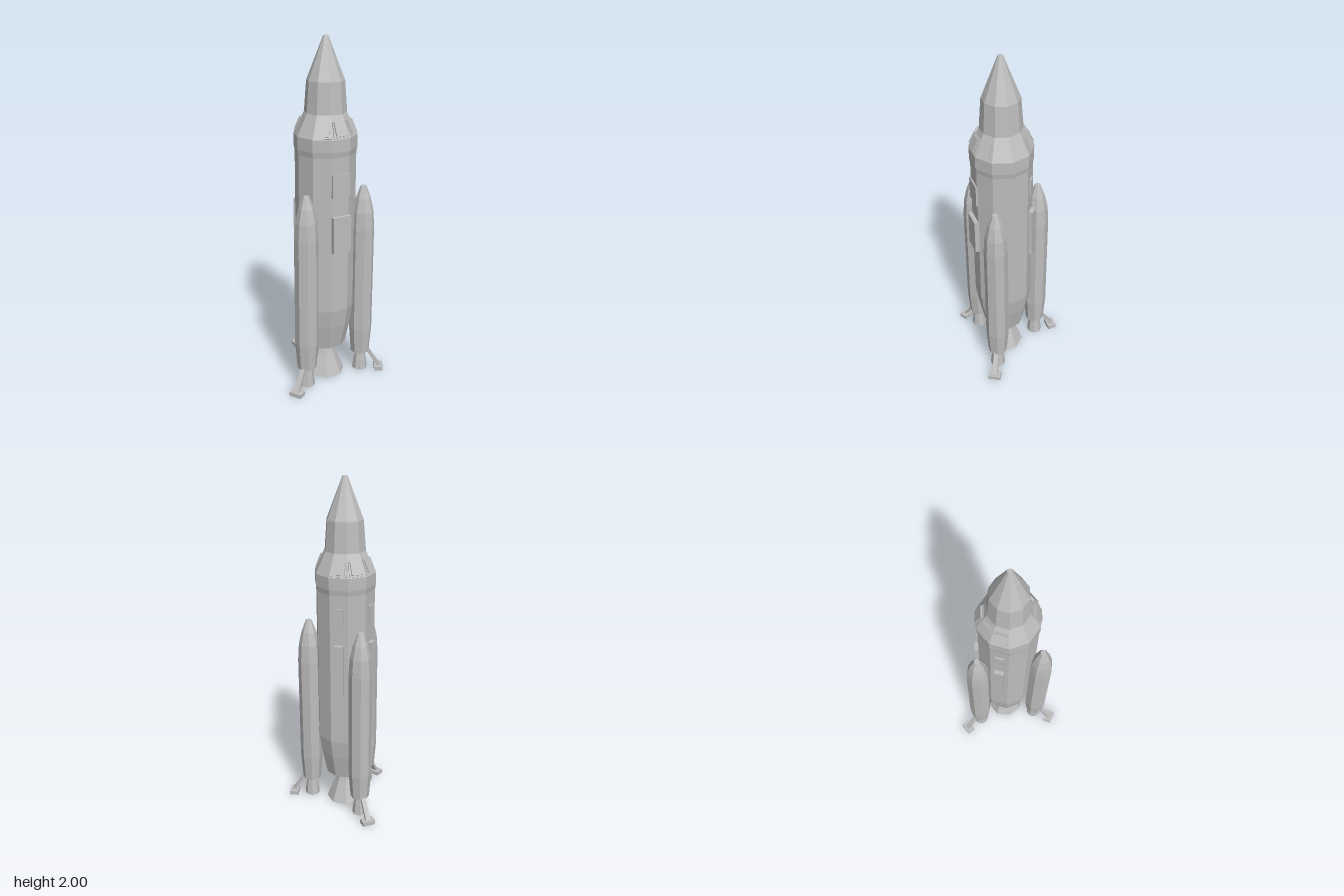
import * as THREE from 'three';

const AXIS_Z = 0.07; // the hull axis sits a little forward of centre
const DEG = Math.PI / 180;

export function createModel() {
  const grey = new THREE.MeshStandardMaterial({ color: 0xbdbdbd });
  grey.name = 'hullGrey';
  grey.flatShading = true;

  const model = new THREE.Group();
  model.name = 'rocket';
  const ship = new THREE.Group();
  ship.name = 'ship';
  ship.position.z = AXIS_Z;
  model.add(ship);

  const mesh = (name, geometry, parent) => {
    const m = new THREE.Mesh(geometry, grey);
    m.name = name;
    parent.add(m);
    return m;
  };
  // Faceted body of revolution with a flat side facing the front
  const lathe = (profile, sides) => new THREE.LatheGeometry(
    profile.map(([r, y]) => new THREE.Vector2(r, y)), sides, Math.PI / sides);
  // Group turned around the hull axis
  const around = (name, degrees) => {
    const g = new THREE.Group();
    g.name = name;
    g.rotation.y = degrees * DEG;
    ship.add(g);
    return g;
  };

  // Main hull and nose
  mesh('hull', lathe([
    [0, 0.205], [0.121, 0.205], [0.154, 0.36], [0.17, 0.47], [0.17, 1.38],
    [0.175, 1.41], [0.175, 1.48], [0.117, 1.6], [0.104, 1.77], [0.014, 2], [0, 2],
  ], 10), ship);

  // Main engine bell, hollow from below
  mesh('mainNozzle', lathe([
    [0, 0.15], [0.045, 0.14], [0.1, 0.004], [0.117, 0.004],
    [0.066, 0.13], [0.044, 0.205], [0, 0.21],
  ], 8), ship);

  // Framed windows on the sloping shoulder
  const frameShape = new THREE.Shape([
    [-0.048, -0.046], [0.048, -0.046], [0.036, 0.044], [-0.036, 0.044],
  ].map(([x, y]) => new THREE.Vector2(x, y)));
  const frameGeometry = new THREE.ExtrudeGeometry(frameShape, { depth: 0.012, bevelEnabled: false });
  const paneGeometry = new THREE.BoxGeometry(0.066, 0.078, 0.009);
  for (const angle of [0, 36, -36, 180, 144, -144]) {
    const side = around('window', angle);
    const tilted = new THREE.Group();
    tilted.name = 'windowPanel';
    tilted.position.set(0, 1.528, 0.144);
    tilted.rotation.x = -0.43;
    side.add(tilted);
    mesh('windowFrame', frameGeometry, tilted).position.z = -0.006;
    mesh('windowPane', paneGeometry, tilted).position.z = 0.01;
  }

  // Raised panels: [name, angle, width, bottom, top, outer distance]
  const panels = [
    ['frontHatch', 0, 0.112, 1.16, 1.29, 0.17],
    ['frontDoor', 0, 0.112, 0.84, 1.05, 0.185],
    ['rearHatch', 144, 0.05, 1.21, 1.305, 0.171],
    ['rearHatch', -144, 0.05, 1.21, 1.305, 0.171],
    ['rearPanel', 144, 0.055, 0.79, 1.09, 0.185],
    ['rearPanel', -144, 0.055, 0.79, 1.09, 0.185],
  ];
  for (const [name, angle, width, bottom, top, outer] of panels) {
    const box = new THREE.BoxGeometry(width, top - bottom, 0.04);
    mesh(name, box, around(name + 'Mount', angle)).position.set(0, (top + bottom) / 2, outer - 0.02);
  }

  // Three boosters, each with a nozzle and a landing leg
  const boosterGeometry = lathe([
    [0, 0.13], [0.056, 0.13], [0.068, 0.29], [0.068, 0.93],
    [0.061, 1.03], [0.043, 1.11], [0.017, 1.18], [0, 1.18],
  ], 8);
  const smallNozzle = lathe([
    [0, 0.1], [0.024, 0.09], [0.038, 0.012], [0.046, 0.012],
    [0.039, 0.07], [0.029, 0.135], [0, 0.135],
  ], 8);
  const footGeometry = new THREE.BoxGeometry(0.076, 0.025, 0.052);
  const legTop = new THREE.Vector2(0.245, 0.155);
  const legEnd = new THREE.Vector2(0.332, 0.022);
  const legLength = legTop.distanceTo(legEnd);
  const legGeometry = new THREE.BoxGeometry(0.028, legLength, 0.018);
  for (const angle of [60, -60, 180]) {
    const x = Math.sin(angle * DEG) * 0.214;
    const z = Math.cos(angle * DEG) * 0.214;
    mesh('booster', boosterGeometry, ship).position.set(x, 0, z);
    mesh('boosterNozzle', smallNozzle, ship).position.set(x, 0, z);

    const leg = around('landingLeg', angle);
    const strut = mesh('legStrut', legGeometry, leg);
    strut.position.set(0, (legTop.y + legEnd.y) / 2, (legTop.x + legEnd.x) / 2);
    strut.rotation.x = -Math.atan2(legEnd.x - legTop.x, legTop.y - legEnd.y);
    mesh('foot', footGeometry, leg).position.set(0, 0.0125, 0.329);
  }

  return model;
}
